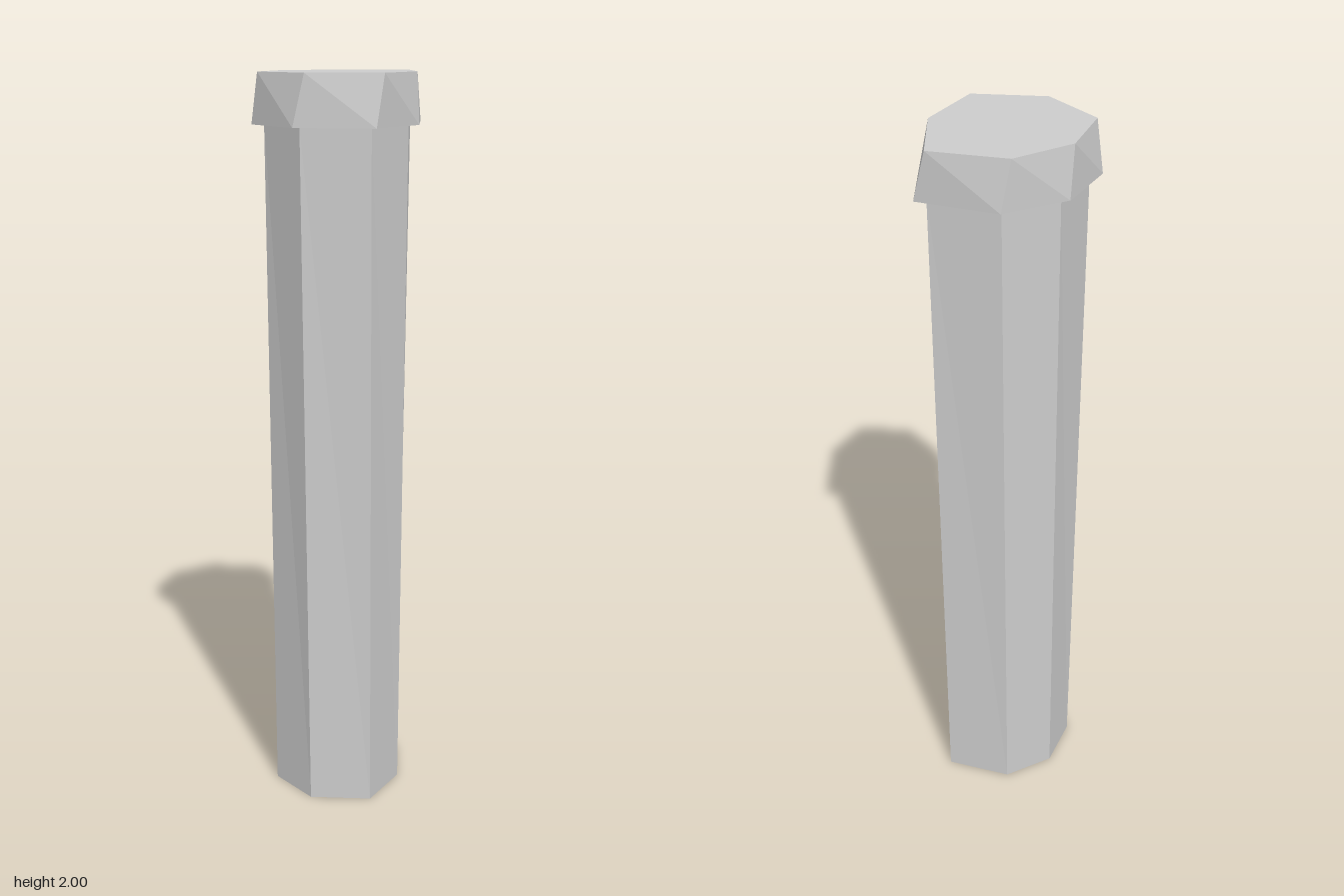
import * as THREE from 'three';

// Closed faceted prism between two seven-sided rings of [x, z] corners,
// listed clockwise seen from above, starting at the back
function prism(bottom, top, y0, y1) {
  const n = bottom.length, positions = [];
  const low = bottom.map(([x, z]) => [x, y0, z]);
  const high = top.map(([x, z]) => [x, y1, z]);
  const tri = (...corners) => corners.forEach(c => positions.push(...c));
  for (let i = 0; i < n; i++) {
    const j = (i + 1) % n;
    tri(low[i], high[i], high[j]);
    tri(low[i], high[j], low[j]);
    if (i > 0 && i < n - 1) {
      tri(high[0], high[j], high[i]);
      tri(low[0], low[i], low[j]);
    }
  }
  const geometry = new THREE.BufferGeometry();
  geometry.setAttribute('position', new THREE.Float32BufferAttribute(positions, 3));
  geometry.computeVertexNormals();
  return geometry;
}

export function createModel() {
  const group = new THREE.Group();
  group.name = 'stonePost';
  const stone = new THREE.MeshStandardMaterial({ color: 0xcccccc, flatShading: true });
  stone.name = 'pale grey stone';

  // Irregular rings for the foot of the shaft, the cap rim and the cap top
  const foot = [[0.075, -0.195], [0.157, -0.048], [0.16, 0.12], [0.01, 0.195],
    [-0.14, 0.135], [-0.17, -0.015], [-0.1, -0.145]];
  const rim = [[0.105, -0.245], [0.205, -0.045], [0.195, 0.165], [-0.005, 0.242],
    [-0.185, 0.155], [-0.205, -0.031], [-0.111, -0.191]];
  const crown = [[0.07, -0.243], [0.187, -0.066], [0.2, 0.133], [0.022, 0.228],
    [-0.158, 0.166], [-0.2, -0.007], [-0.127, -0.17]];
  const neck = rim.map(([x, z]) => [x * 0.862, z * 0.862]);

  const add = (name, geometry) => {
    const mesh = new THREE.Mesh(geometry, stone);
    mesh.name = name;
    group.add(mesh);
  };
  // Tall shaft, flaring slightly upward
  add('shaft', prism(foot, neck, 0, 1.865));
  // Overhanging cap with a slight twist
  add('cap', prism(rim, crown, 1.865, 2));
  return group;
}
